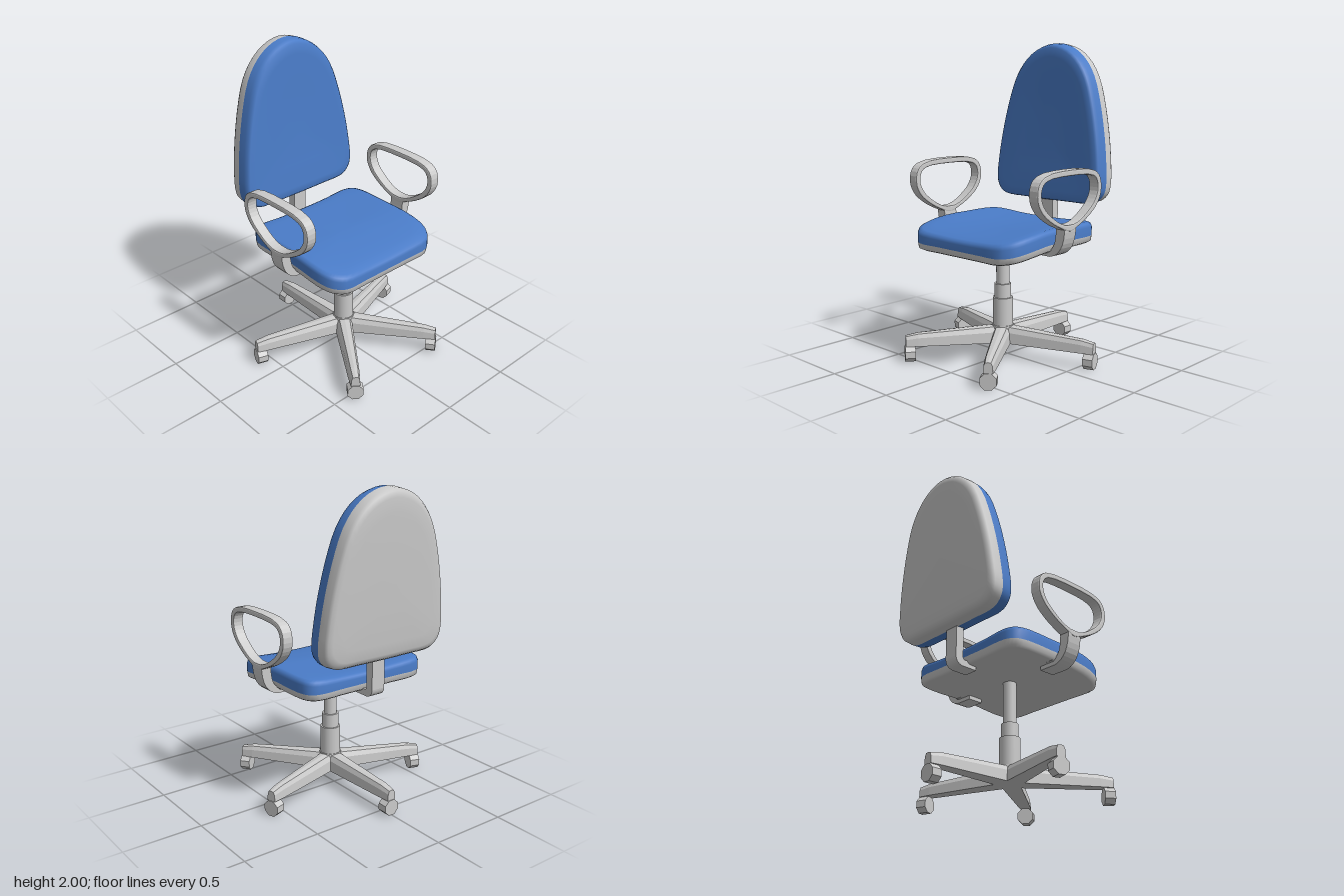
import * as THREE from 'three';

const grey = new THREE.MeshStandardMaterial({ color: 0xcccccc });
const greyFlat = new THREE.MeshStandardMaterial({ color: 0xcccccc, flatShading: true });
const blue = new THREE.MeshStandardMaterial({ color: 0x4a7cc8 });

function add(parent, name, geometry, material = grey) {
  const mesh = new THREE.Mesh(geometry, material);
  mesh.name = name;
  parent.add(mesh);
  return mesh;
}

const vec2 = (pts) => pts.map(([x, y]) => new THREE.Vector2(x, y));

// Smooth closed outline through a few points
function smoothLoop(pts, n) {
  const curve = new THREE.CatmullRomCurve3(pts.map(([x, y]) => new THREE.Vector3(x, y, 0)), true);
  return curve.getPoints(n).slice(0, n).map((p) => [p.x, p.y]);
}

// Cushion shell: rings of a scaled outline [scale, height]; scale 0 is a closing centre point
function cushion(outline, centre, rings, place) {
  const n = outline.length, pos = [], index = [];
  for (const [s, h] of rings) {
    for (const [u, v] of outline) {
      pos.push(...place(centre[0] + (u - centre[0]) * s, centre[1] + (v - centre[1]) * s, h));
    }
  }
  for (let r = 0; r < rings.length - 1; r++) {
    for (let i = 0; i < n; i++) {
      const a = r * n + i, b = r * n + (i + 1) % n, c = a + n, d = b + n;
      if (rings[r][0] > 0) index.push(a, b, d);
      if (rings[r + 1][0] > 0) index.push(a, d, c);
    }
  }
  const g = new THREE.BufferGeometry();
  g.setAttribute('position', new THREE.Float32BufferAttribute(pos, 3));
  g.setIndex(index);
  // A collapsed ring at the start needs the other triangle of each quad
  g.computeVertexNormals();
  const nor = g.attributes.normal;
  rings.forEach(([s], r) => {
    if (s > 0) return;
    const sum = new THREE.Vector3(), t = new THREE.Vector3();
    for (let i = 0; i < n; i++) sum.add(t.fromBufferAttribute(nor, r * n + i));
    sum.normalize();
    for (let i = 0; i < n; i++) nor.setXYZ(r * n + i, sum.x, sum.y, sum.z);
  });
  return g;
}

function extrude(shape, depth, bevel = 0, curveSegments = 8) {
  const g = new THREE.ExtrudeGeometry(shape, {
    depth: depth - 2 * bevel, bevelEnabled: bevel > 0, bevelSize: bevel,
    bevelThickness: bevel, bevelOffset: -bevel, bevelSegments: 2, curveSegments,
  });
  return g.translate(0, 0, -(depth - 2 * bevel) / 2);
}

function createSeat() {
  const seat = new THREE.Group();
  seat.name = 'seat';
  // Outline as (z, x)
  const half = [[0, -0.355], [0.2, -0.355], [0.37, -0.355], [0.425, -0.325], [0.45, -0.26], [0.45, 0],
    [0.45, 0.27], [0.43, 0.36], [0.4, 0.405], [0.34, 0.442], [0.18, 0.445], [0, 0.445]];
  const outline = smoothLoop([...half, ...half.slice(1, -1).reverse().map(([z, x]) => [-z, x])], 64);
  // Front edge droops, upper side is dished along the middle
  const place = (z, x, h) => {
    const droop = 0.052 * Math.pow(Math.max(0, (x - 0.05) / 0.395), 1.6);
    const dish = 0.022 * Math.max(0, h / 0.09) * (1 - (z / 0.45) ** 2);
    return [x, 0.8 + h - droop - dish, z];
  };
  add(seat, 'seatShell', cushion(outline, [0, 0.045],
    [[0, -0.05], [0.3, -0.05], [0.6, -0.05], [0.8, -0.05], [0.95, -0.047], [0.99, -0.035], [1, 0]], place));
  add(seat, 'seatCushion', cushion(outline, [0, 0.045],
    [[1, 0], [1, 0.055], [0.985, 0.078], [0.94, 0.09], [0.8, 0.093], [0.6, 0.092], [0.3, 0.09], [0, 0.09]], place), blue);
  return seat;
}

function createBackrest() {
  const back = new THREE.Group();
  back.name = 'backrest';
  // Outline as (y, z)
  const half = [[0.973, 0], [0.975, 0.2], [0.978, 0.34], [0.998, 0.395], [1.045, 0.435], [1.11, 0.447], [1.22, 0.44],
    [1.4, 0.415], [1.62, 0.365], [1.79, 0.305], [1.9, 0.225], [1.97, 0.125], [2, 0]];
  const outline = smoothLoop([...half.map(([y, z]) => [y, -z]), ...half.slice(1, -1).reverse()], 64);
  // Leaning plane between cushion and shell
  const place = (y, z, h) => [-0.43 - 0.068 * (y - 0.97) / 1.03 + h, y, z];
  add(back, 'backrestShell', cushion(outline, [1.42, 0],
    [[0, -0.092], [0.4, -0.091], [0.75, -0.088], [0.9, -0.083], [0.96, -0.074], [0.99, -0.055], [1, 0]], place));
  add(back, 'backrestCushion', cushion(outline, [1.42, 0],
    [[1, 0], [0.995, 0.05], [0.98, 0.075], [0.95, 0.088], [0.85, 0.091], [0.5, 0.086], [0, 0.083]], place), blue);
  return back;
}

function createArm(side) {
  const arm = new THREE.Group();
  arm.name = side > 0 ? 'leftArmrest' : 'rightArmrest';
  // Hand loop
  const outer = [[0.043, 0.885], [0.12, 0.91], [0.22, 0.96], [0.3, 1.025], [0.336, 1.1], [0.325, 1.185], [0.27, 1.23],
    [0.045, 1.25], [-0.185, 1.23], [-0.238, 1.185], [-0.25, 1.1], [-0.214, 1.025], [-0.134, 0.96], [-0.034, 0.91]];
  const inner = [[0.043, 0.925], [0.12, 0.94], [0.2, 0.985], [0.27, 1.045], [0.3, 1.11], [0.29, 1.17], [0.25, 1.2],
    [0.045, 1.215], [-0.164, 1.2], [-0.204, 1.17], [-0.214, 1.11], [-0.184, 1.045], [-0.114, 0.985], [-0.034, 0.94]];
  const shape = new THREE.Shape(vec2(smoothLoop(outer, 40)));
  shape.holes.push(new THREE.Path(vec2(smoothLoop(inner, 40))));
  add(arm, 'armLoop', extrude(shape, 0.07, 0.008).translate(0, 0, side * 0.52));
  // Curved bracket running under the seat, drawn as (z, y)
  const s = new THREE.Shape();
  s.moveTo(side * 0.553, 0.925);
  s.bezierCurveTo(side * 0.553, 0.8, side * 0.51, 0.74, side * 0.44, 0.725);
  s.lineTo(side * 0.32, 0.725);
  s.lineTo(side * 0.32, 0.765);
  s.lineTo(side * 0.43, 0.765);
  s.bezierCurveTo(side * 0.47, 0.775, side * 0.487, 0.82, side * 0.487, 0.925);
  s.closePath();
  add(arm, 'armBracket', extrude(s, 0.105).rotateY(-Math.PI / 2).translate(0.043, 0, 0));
  add(arm, 'armMount', new THREE.BoxGeometry(0.14, 0.035, 0.12).translate(0.043, 0.768, side * 0.37));
  return arm;
}

function createBase() {
  const base = new THREE.Group();
  base.name = 'base';
  base.position.x = 0.043;
  // Stepped gas column: [radius, bottom, top]
  [[0.065, 0.1, 0.39], [0.054, 0.39, 0.48], [0.042, 0.48, 0.78]].forEach(([r, y0, y1], i) => {
    add(base, 'column' + (i + 1), new THREE.CylinderGeometry(r, r, y1 - y0, 20).translate(0, (y0 + y1) / 2, 0));
  });
  add(base, 'hub', new THREE.CylinderGeometry(0.07, 0.085, 0.11, 20).translate(0, 0.155, 0));
  // Five tapering legs with casters
  const section = new THREE.Shape(vec2([[-1, 0], [1, 0], [0.9, 0.65], [0.6, 0.95], [0, 1], [-0.6, 0.95], [-0.9, 0.65]]));
  for (let i = 0; i < 5; i++) {
    const leg = new THREE.Group();
    leg.name = 'leg' + (i + 1);
    leg.rotation.y = Math.PI + i * Math.PI * 2 / 5;
    const g = new THREE.ExtrudeGeometry(section, { depth: 1, steps: 8, bevelEnabled: false });
    const p = g.attributes.position;
    for (let k = 0; k < p.count; k++) {
      const t = p.getZ(k), end = t > 0.99 ? 0.86 : 1;
      p.setXYZ(k, t * 0.625, 0.1 + p.getY(k) * (0.11 - 0.033 * t) * end, -p.getX(k) * (0.06 - 0.026 * t) * end);
    }
    g.computeVertexNormals();
    add(leg, 'legBeam', g, greyFlat);
    add(leg, 'caster', new THREE.CylinderGeometry(0.054, 0.054, 0.065, 8, 1, false, Math.PI / 8)
      .rotateZ(Math.PI / 2).translate(0.597, 0.05, 0), greyFlat);
    base.add(leg);
  }
  return base;
}

export function createModel() {
  const chair = new THREE.Group();
  chair.name = 'officeChair';
  chair.add(createSeat(), createBackrest(), createArm(1), createArm(-1), createBase());
  // Bent support bar between seat and backrest
  const bar = new THREE.Shape();
  bar.moveTo(-0.44, 1.1);
  bar.lineTo(-0.44, 0.78);
  bar.quadraticCurveTo(-0.435, 0.735, -0.39, 0.728);
  bar.lineTo(-0.28, 0.728);
  bar.lineTo(-0.28, 0.77);
  bar.lineTo(-0.375, 0.77);
  bar.quadraticCurveTo(-0.385, 0.775, -0.385, 0.79);
  bar.lineTo(-0.385, 1.1);
  bar.closePath();
  add(chair, 'backSupport', extrude(bar, 0.095));
  return chair;
}
